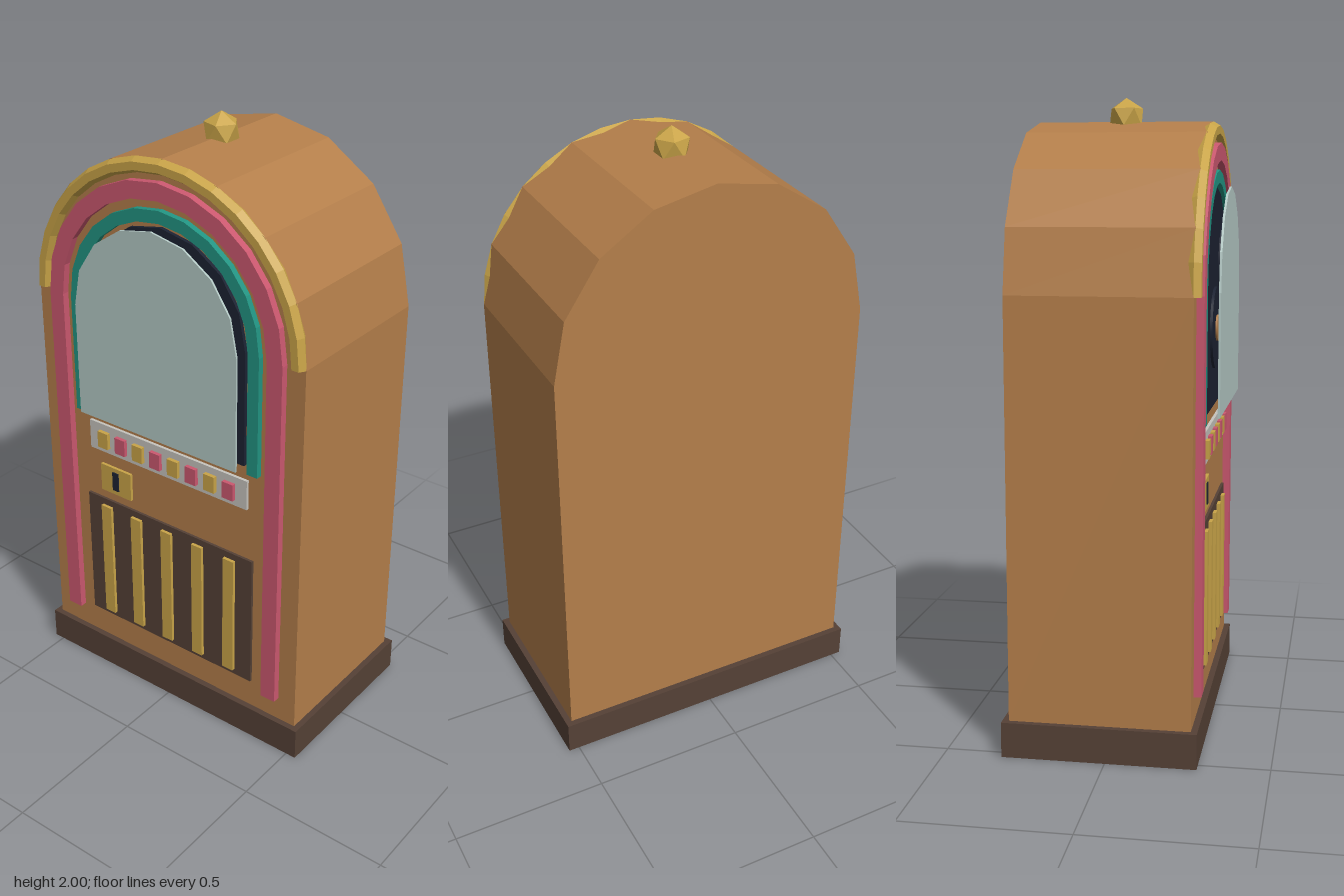
import * as THREE from 'three';

const mat = (name, color) => {
  const m = new THREE.MeshStandardMaterial({ color });
  m.name = name;
  return m;
};

const SPRING = 1.41; // height where every arch starts to curve
const FACE = 0.26;   // front of the cabinet

// Closed arch outline: straight sides from y0, half circle above.
function archPoints(r, y0, n) {
  const pts = [new THREE.Vector2(r, y0)];
  for (let i = 0; i <= n; i++) {
    const a = (Math.PI * i) / n;
    pts.push(new THREE.Vector2(r * Math.cos(a), SPRING + r * Math.sin(a)));
  }
  pts.push(new THREE.Vector2(-r, y0));
  return pts;
}

function extrude(points, z0, z1) {
  const g = new THREE.ExtrudeGeometry(new THREE.Shape(points), { depth: z1 - z0, bevelEnabled: false });
  return g.translate(0, 0, z0);
}

const solidArch = (r, y0, z0, z1, n) => extrude(archPoints(r, y0, n), z0, z1);

// Arched band open at the bottom.
const bandArch = (rOut, rIn, y0, z0, z1, n) =>
  extrude([...archPoints(rOut, y0, n), ...archPoints(rIn, y0, n).reverse()], z0, z1);

// Box given by its limits.
function block(x0, x1, y0, y1, z0, z1) {
  return new THREE.BoxGeometry(x1 - x0, y1 - y0, z1 - z0)
    .translate((x0 + x1) / 2, (y0 + y1) / 2, (z0 + z1) / 2);
}

export function createModel() {
  const wood = mat('wood', 0xb37e4a);
  const darkWood = mat('darkWood', 0x554136);
  const gold = mat('gold', 0xc9a448);
  const pink = mat('pink', 0xcb586f);
  const teal = mat('teal', 0x229482);
  const glass = mat('glass', 0xb4c9c5);
  const navy = mat('navy', 0x1c2232);
  const silver = mat('silver', 0xc6c4be);
  gold.flatShading = true;

  const model = new THREE.Group();
  model.name = 'jukebox';
  const add = (name, geometry, material, parent = model) => {
    const mesh = new THREE.Mesh(geometry, material);
    mesh.name = name;
    parent.add(mesh);
    return mesh;
  };
  const group = (name) => {
    const g = new THREE.Group();
    g.name = name;
    model.add(g);
    return g;
  };

  // Cabinet and plinth
  add('plinth', block(-0.535, 0.535, 0, 0.11, -0.32, 0.28), darkWood);
  add('cabinet', solidArch(0.515, 0.11, -0.3, FACE, 8), wood);

  // Arched trims, from the outside in
  add('goldArch', new THREE.TorusGeometry(0.49, 0.025, 6, 16, Math.PI), gold).position.set(0, SPRING, 0.258);
  add('pinkTube', bandArch(0.45, 0.395, 0.195, FACE, 0.284, 12), pink);
  add('tealTube', bandArch(0.365, 0.325, 1.01, FACE, 0.28, 12), teal);

  // Window: dark backing, records and the glass in front
  add('windowBacking', solidArch(0.31, 1.03, FACE, 0.272, 8), navy);
  const records = group('records');
  [[0.16, 1.29, 0.274, pink], [-0.157, 1.29, 0.282, wood], [0, 1.48, 0.29, teal]].forEach(([x, y, z, label]) => {
    const disc = (name, r, depth, zc, m) =>
      add(name, new THREE.CylinderGeometry(r, r, depth, 20).rotateX(Math.PI / 2), m, records).position.set(x, y, zc);
    disc('record', 0.127, 0.008, z + 0.004, navy);
    disc('recordLabel', 0.041, 0.006, z + 0.011, label);
  });
  add('windowGlass', solidArch(0.312, 1.03, 0.311, 0.318, 8), glass);

  // Selection buttons
  const panel = group('buttonPanel');
  add('panelPlate', block(-0.32, 0.32, 0.875, 0.978, FACE, 0.27), silver, panel);
  for (let i = 0; i < 8; i++) {
    const x = -0.256 + i * 0.073;
    add('button', block(x - 0.021, x + 0.021, 0.896, 0.954, 0.268, 0.283), i % 2 ? pink : gold, panel);
  }

  // Coin slot
  add('coinPlate', block(-0.28, -0.152, 0.725, 0.825, FACE, 0.27), gold);
  add('coinSlot', block(-0.228, -0.203, 0.742, 0.81, 0.268, 0.274), navy);

  // Speaker grille
  const grille = group('speakerGrille');
  add('grillePanel', block(-0.342, 0.342, 0.215, 0.69, FACE, 0.269), darkWood, grille);
  for (let i = -2; i <= 2; i++) {
    const x = i * 0.128;
    add('grilleBar', block(x - 0.021, x + 0.021, 0.235, 0.667, 0.267, 0.28), gold, grille);
  }

  // Faceted finial standing on one point
  const finial = new THREE.IcosahedronGeometry(0.06, 0).rotateZ(-Math.atan(2 / (1 + Math.sqrt(5))));
  add('finial', finial, gold).position.set(0, 1.94, -0.02);

  return model;
}
